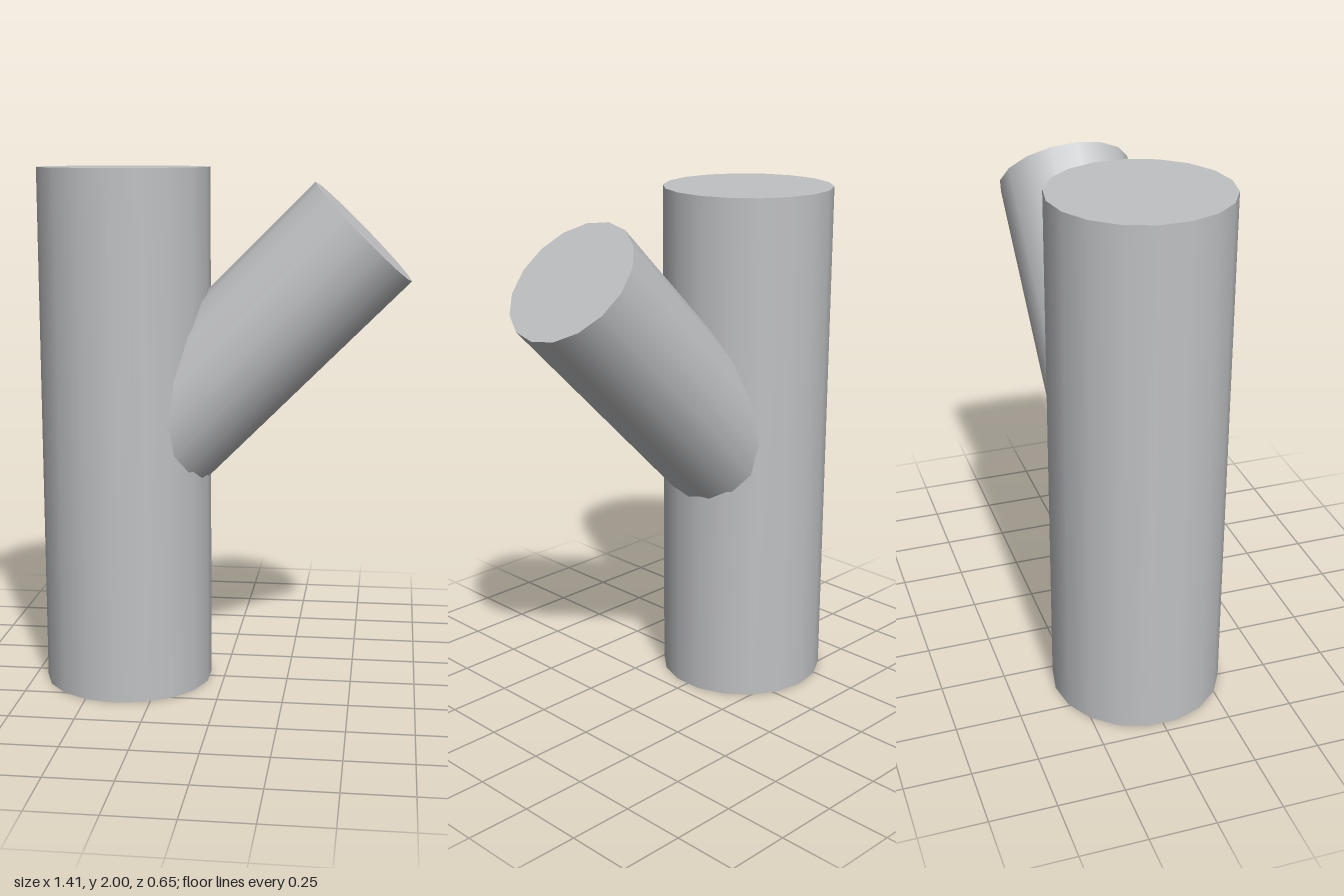
import * as THREE from 'three';

export function createModel() {
  const group = new THREE.Group();
  group.name = 'branchedPipe';
  const grey = new THREE.MeshStandardMaterial({ color: 0xc0c1c3 });
  grey.name = 'light grey';

  // Solid round bar centred between two points
  const addBar = (name, from, to, radius, sides) => {
    const dir = to.clone().sub(from);
    const mesh = new THREE.Mesh(
      new THREE.CylinderGeometry(radius, radius, dir.length(), sides), grey);
    mesh.name = name;
    mesh.position.copy(from).add(to).multiplyScalar(0.5);
    mesh.quaternion.setFromUnitVectors(new THREE.Vector3(0, 1, 0), dir.normalize());
    group.add(mesh);
  };

  // Upright main trunk
  const axisX = -0.382;
  addBar('mainPipe', new THREE.Vector3(axisX, 0, 0), new THREE.Vector3(axisX, 2, 0), 0.327, 18);

  // Side branch leaving the trunk axis at 45 degrees
  const reach = 0.903;
  addBar('branchPipe', new THREE.Vector3(axisX, 0.861, 0),
    new THREE.Vector3(axisX + reach, 0.861 + reach, 0), 0.257, 16);

  return group;
}
